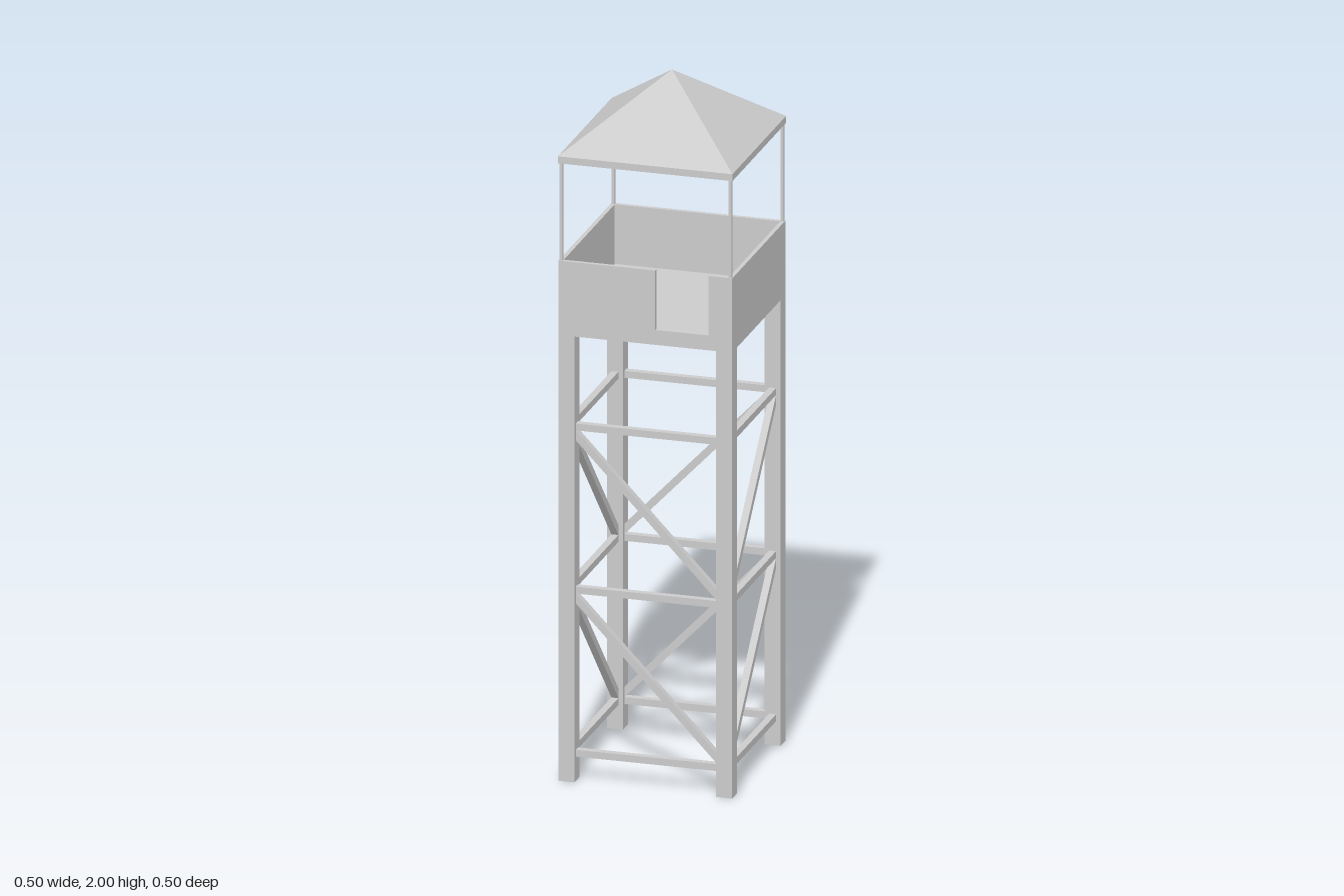
import * as THREE from 'three';

const material = new THREE.MeshStandardMaterial({ color: 0xcccccc, flatShading: true, side: THREE.DoubleSide });

const HALF = 0.248;           // half width of the tower
const LEG = 0.046;            // leg thickness
const MID = HALF - LEG / 2;   // leg centre line
const DECK = 1.29, FLOOR = 1.333, RAIL = 1.505;
const LEVELS = [0.08, 0.552, 1.024];

export function createModel() {
  const tower = new THREE.Group();
  tower.name = 'watchtower';

  function add(parent, name, geometry, x = 0, y = 0, z = 0) {
    const mesh = new THREE.Mesh(geometry, material);
    mesh.name = name;
    mesh.position.set(x, y, z);
    parent.add(mesh);
    return mesh;
  }
  const box = (parent, name, w, h, d, x, y, z) =>
    add(parent, name, new THREE.BoxGeometry(w, h, d), x, y, z);

  // legs and thin roof posts at the four corners
  const postAt = HALF - 0.007;
  for (const sx of [-1, 1]) {
    for (const sz of [-1, 1]) {
      box(tower, 'leg', LEG, DECK, LEG, sx * MID, DECK / 2, sz * MID);
      box(tower, 'roofPost', 0.009, 0.3, 0.009, sx * postAt, RAIL + 0.145, sz * postAt);
    }
  }

  // bracing: crossbeams and one diagonal per bay, mirrored on neighbouring sides
  for (let i = 0; i < 4; i++) {
    const side = new THREE.Group();
    side.name = 'bracingSide';
    side.rotation.y = i * Math.PI / 2;
    tower.add(side);
    for (const y of LEVELS) box(side, 'crossbeam', 2 * MID, 0.02, 0.02, 0, y, MID);
    const slant = i % 2 ? 1 : -1;
    for (let b = 0; b < 2; b++) {
      const rise = LEVELS[b + 1] - LEVELS[b];
      const brace = box(side, 'diagonalBrace', Math.hypot(2 * MID, rise), 0.02, 0.02,
        0, LEVELS[b] + rise / 2, MID);
      brace.rotation.z = slant * Math.atan2(rise, 2 * MID);
    }
  }

  // platform floor
  const wall = 0.012;
  const inner = HALF - wall;
  box(tower, 'floor', 2 * inner, FLOOR - DECK, 2 * inner, 0, (DECK + FLOOR) / 2, 0);

  // parapet: three solid walls and a front wall notched for the entrance
  const wallH = RAIL - DECK, wallY = (RAIL + DECK) / 2;
  box(tower, 'backWall', 2 * HALF, wallH, wall, 0, wallY, -HALF + wall / 2);
  for (const sx of [-1, 1]) {
    box(tower, 'sideWall', wall, wallH, 2 * inner, sx * (HALF - wall / 2), wallY, 0);
  }
  const front = new THREE.Shape([
    [-HALF, DECK], [HALF, DECK], [HALF, RAIL], [0.18, RAIL],
    [0.18, FLOOR], [0.028, FLOOR], [0.028, RAIL], [-HALF, RAIL],
  ].map(([x, y]) => new THREE.Vector2(x, y)));
  add(tower, 'frontWall', new THREE.ExtrudeGeometry(front, { depth: wall, bevelEnabled: false }), 0, 0, inner);

  // hollow pyramid roof: four-sided lathe from the inner peak round the eave to the outer peak
  const profile = [[0, 1.978], [0.232, 1.787], [0.249, 1.787], [0.249, 1.807], [0, 2]]
    .map(([half, y]) => new THREE.Vector2(half * Math.SQRT2, y));
  const roof = new THREE.LatheGeometry(profile, 4, Math.PI / 4).toNonIndexed();
  roof.computeVertexNormals();
  add(tower, 'roof', roof);

  return tower;
}
